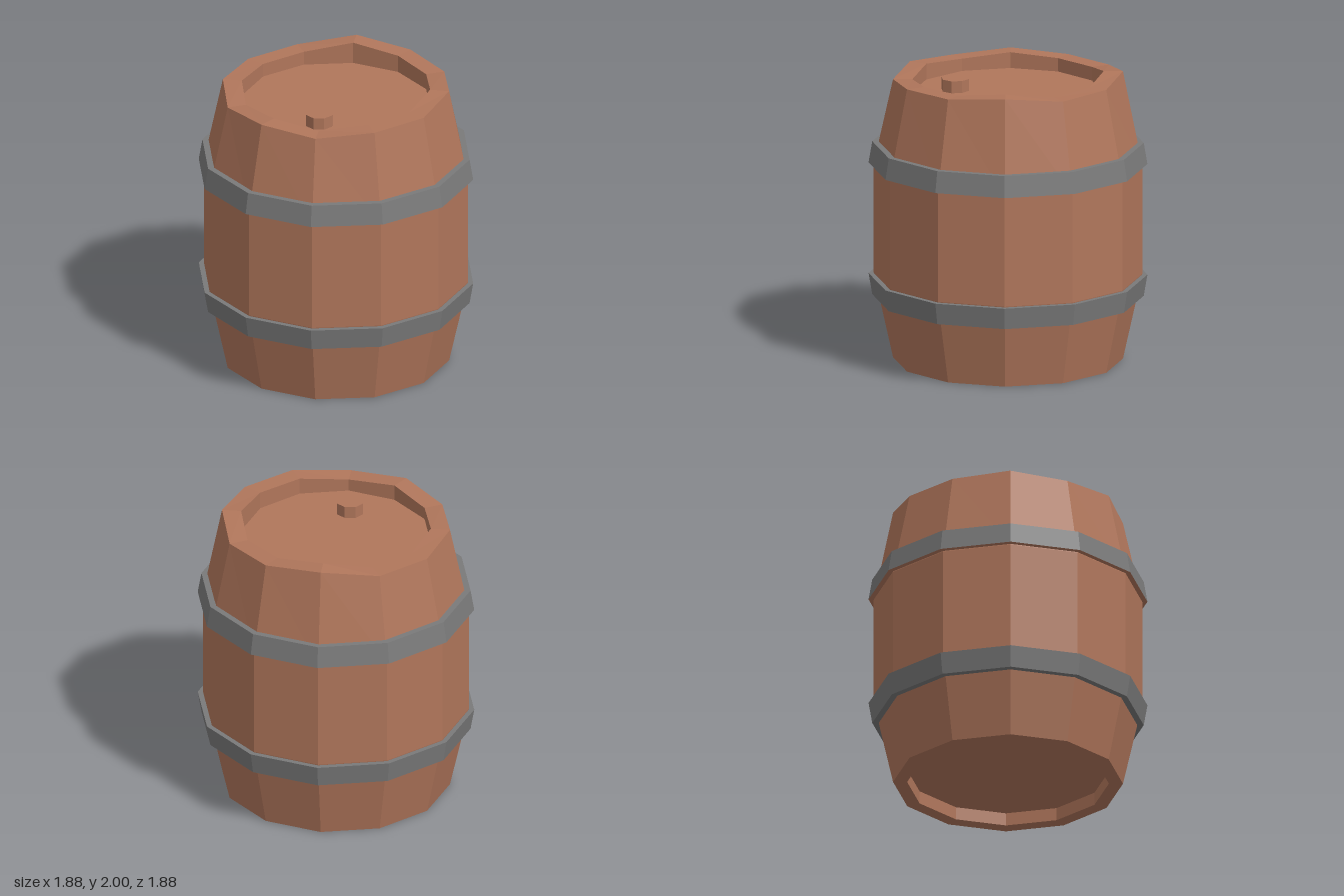
import * as THREE from 'three';

const SIDES = 12;
// Uneven rim heights, starting at the front (+z) and turning towards +x
const RIM = [1.965, 1.97, 2.0, 1.96, 1.97, 2.0, 1.945, 1.943, 1.96, 1.935, 1.96, 1.935];

function material(name, color) {
  const m = new THREE.MeshStandardMaterial({ color, flatShading: true });
  m.name = name;
  return m;
}

function lathe(name, profile, mat) {
  const points = profile.map(([r, y]) => new THREE.Vector2(r, y));
  const mesh = new THREE.Mesh(new THREE.LatheGeometry(points, SIDES), mat);
  mesh.name = name;
  return mesh;
}

export function createModel() {
  const wood = material('wood', 0xb0765b);
  const iron = material('iron', 0x7a7a7a);
  const barrel = new THREE.Group();
  barrel.name = 'barrel';

  // Staves, recessed base and recessed lid in one closed profile
  const profile = [
    [0, 0.09], [0.68, 0.09], [0.68, 0], [0.775, 0],
    [0.905, 0.59], [0.905, 1.35],
    [0.775, 1.96], [0.645, 1.96], [0.645, 1.85], [0, 1.85],
  ];
  const body = lathe('barrelBody', profile, wood);
  const pos = body.geometry.attributes.position;
  for (let i = 0; i <= SIDES; i++) {
    for (const j of [6, 7]) pos.setY(i * profile.length + j, RIM[i % SIDES]);
  }
  body.geometry.computeVertexNormals();
  barrel.add(body);

  // Iron hoops, widest towards the belly
  barrel.add(lathe('lowerHoop', [[0.868, 0.437], [0.915, 0.437], [0.94, 0.585], [0.9, 0.585]], iron));
  barrel.add(lathe('upperHoop', [[0.94, 1.355], [0.915, 1.502], [0.868, 1.502]], iron));
  barrel.add(lathe('upperHoopUnderside', [[0.9, 1.355], [0.94, 1.355]], wood));

  // Bung on the lid
  const bung = new THREE.Mesh(new THREE.CylinderGeometry(0.095, 0.095, 0.083, 8), wood);
  bung.name = 'bung';
  bung.position.set(-0.22, 1.8915, 0.285);
  barrel.add(bung);

  return barrel;
}
